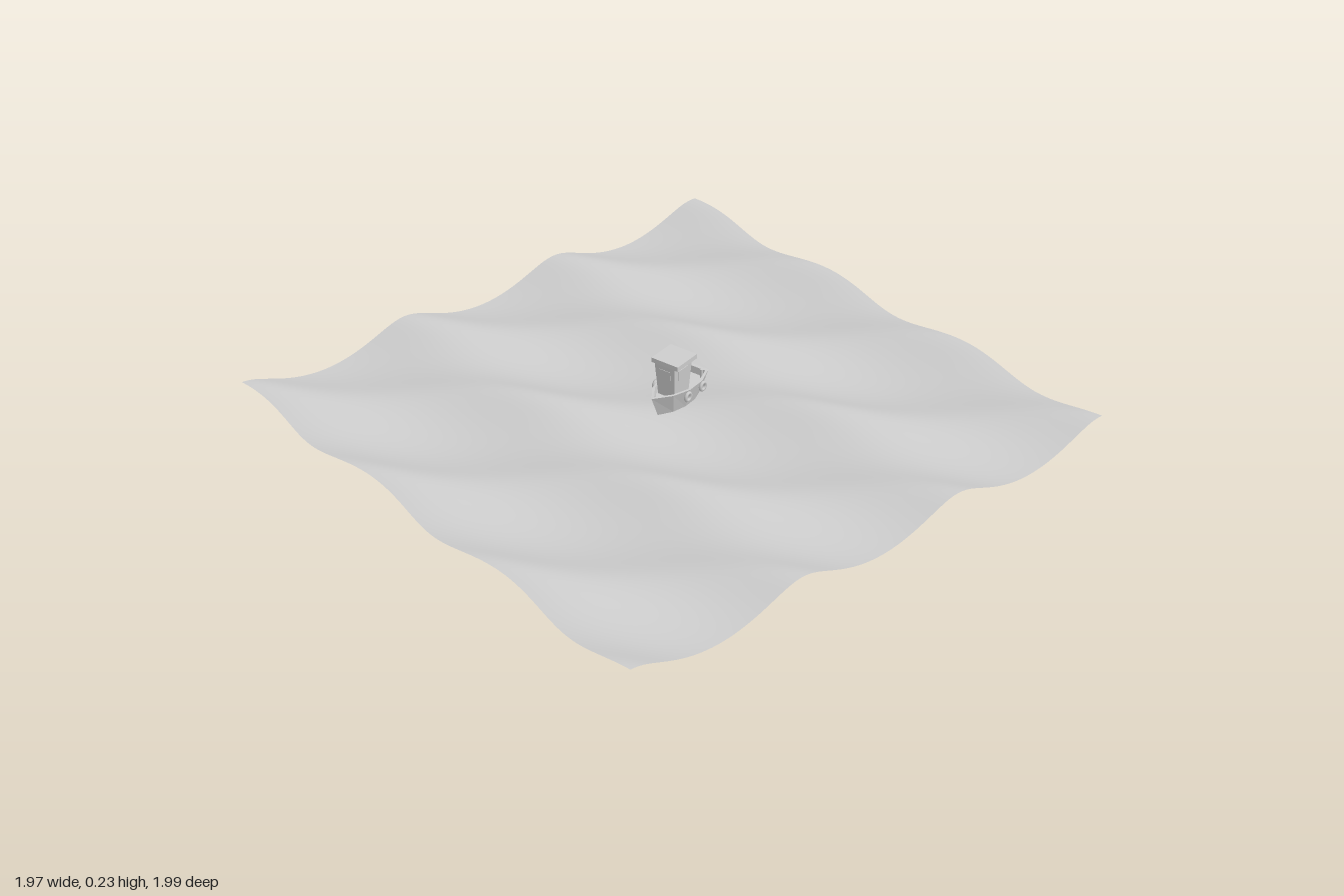
import * as THREE from 'three';

const paint = new THREE.MeshStandardMaterial({ color: 0xcccccc, side: THREE.DoubleSide });
paint.name = 'light grey';

function part(parent, name, geometry, x = 0, y = 0, z = 0) {
  const mesh = new THREE.Mesh(geometry, paint);
  mesh.name = name;
  mesh.position.set(x, y, z);
  parent.add(mesh);
  return mesh;
}

// Two crossing wave trains, with points pulled sideways towards the crests
function seaGeometry() {
  const k = (2 * Math.PI) / 0.65, amp = 0.0195, pull = 0.016;
  const g = new THREE.PlaneGeometry(1.96, 1.965, 120, 120).rotateX(-Math.PI / 2);
  const p = g.attributes.position;
  for (let i = 0; i < p.count; i++) {
    const x = p.getX(i), z = p.getZ(i);
    const a = k * z, b = k * (x + z);
    p.setXYZ(i,
      x - 0.004 * Math.sin(b),
      0.039 + amp * (Math.cos(b) - Math.cos(a)),
      z + pull * (Math.sin(a) - Math.sin(b)));
  }
  g.computeVertexNormals();
  return g;
}

// Hull lofted through rings: keel, gunwale, inner rim, deck
function hullGeometry() {
  const half = [[0, 0.135], [0.042, 0.075], [0.06, 0.01], [0.058, -0.06], [0.034, -0.128]];
  const plan = [...half, ...half.slice(1).reverse().map(([x, z]) => [-x, z])];
  const rings = [[0.68, 0.76, 0.052, 0], [1, 1, 0.122, 0.05], [0.86, 0.9, 0.122, 0.05], [0.82, 0.86, 0.1, 0]];
  const n = plan.length, pos = [], index = [];
  for (const [sx, sz, y, sheer] of rings)
    for (const [x, z] of plan) pos.push(x * sx, y + sheer * Math.max(0, z), z * sz);
  for (let r = 0; r < rings.length - 1; r++)
    for (let i = 0; i < n; i++) {
      const a = r * n + i, b = r * n + ((i + 1) % n);
      index.push(a, b, a + n, b, b + n, a + n);
    }
  // Close the keel and the deck
  const top = (rings.length - 1) * n;
  for (let i = 1; i < n - 1; i++) {
    index.push(0, i + 1, i);
    index.push(top, top + i, top + i + 1);
  }
  const g = new THREE.BufferGeometry();
  g.setAttribute('position', new THREE.Float32BufferAttribute(pos, 3));
  g.setIndex(index);
  const flat = g.toNonIndexed();
  flat.computeVertexNormals();
  return flat;
}

// Box whose top is wider than its foot
function flaredBox(w, h, d, flare) {
  const g = new THREE.BoxGeometry(w, h, d);
  const p = g.attributes.position;
  for (let i = 0; i < p.count; i++)
    if (p.getY(i) > 0) p.setXYZ(i, p.getX(i) * flare, p.getY(i), p.getZ(i) * flare);
  g.computeVertexNormals();
  return g;
}

export function createModel() {
  const model = new THREE.Group();
  part(model, 'sea', seaGeometry());

  const boat = new THREE.Group();
  boat.name = 'boat';
  boat.position.set(0, 0, -0.04);
  boat.rotation.y = 0.22;
  model.add(boat);

  part(boat, 'hull', hullGeometry());

  // Wheelhouse with an overhanging roof
  part(boat, 'cabin', flaredBox(0.064, 0.116, 0.078, 1.22), 0, 0.158, 0.018);
  part(boat, 'roof', new THREE.BoxGeometry(0.104, 0.016, 0.104), 0, 0.223, 0.014);
  for (const s of [-1, 1]) {
    const side = part(boat, 'sideWindow', new THREE.BoxGeometry(0.004, 0.036, 0.05), s * 0.0368, 0.182, 0.018);
    side.rotation.z = -s * 0.06;
  }
  const front = part(boat, 'frontWindow', new THREE.BoxGeometry(0.046, 0.036, 0.004), 0, 0.182, 0.0624);
  front.rotation.x = 0.073;

  // Lamp hanging behind the cabin
  part(boat, 'lampArm', new THREE.BoxGeometry(0.005, 0.005, 0.03), 0, 0.205, -0.042);
  part(boat, 'lamp', new THREE.CylinderGeometry(0.006, 0.009, 0.016, 8), 0, 0.196, -0.055);

  // Tyre fenders along both sides
  for (const s of [-1, 1])
    for (const z of [0.025, -0.055]) {
      const tyre = part(boat, 'tyreFender', new THREE.TorusGeometry(0.013, 0.006, 6, 12), s * 0.064, 0.106, z);
      tyre.rotation.y = Math.PI / 2;
    }

  // Stern bollards
  for (const s of [-1, 1])
    part(boat, 'bollard', new THREE.CylinderGeometry(0.005, 0.005, 0.03, 8), s * 0.026, 0.118, -0.1);

  return model;
}
